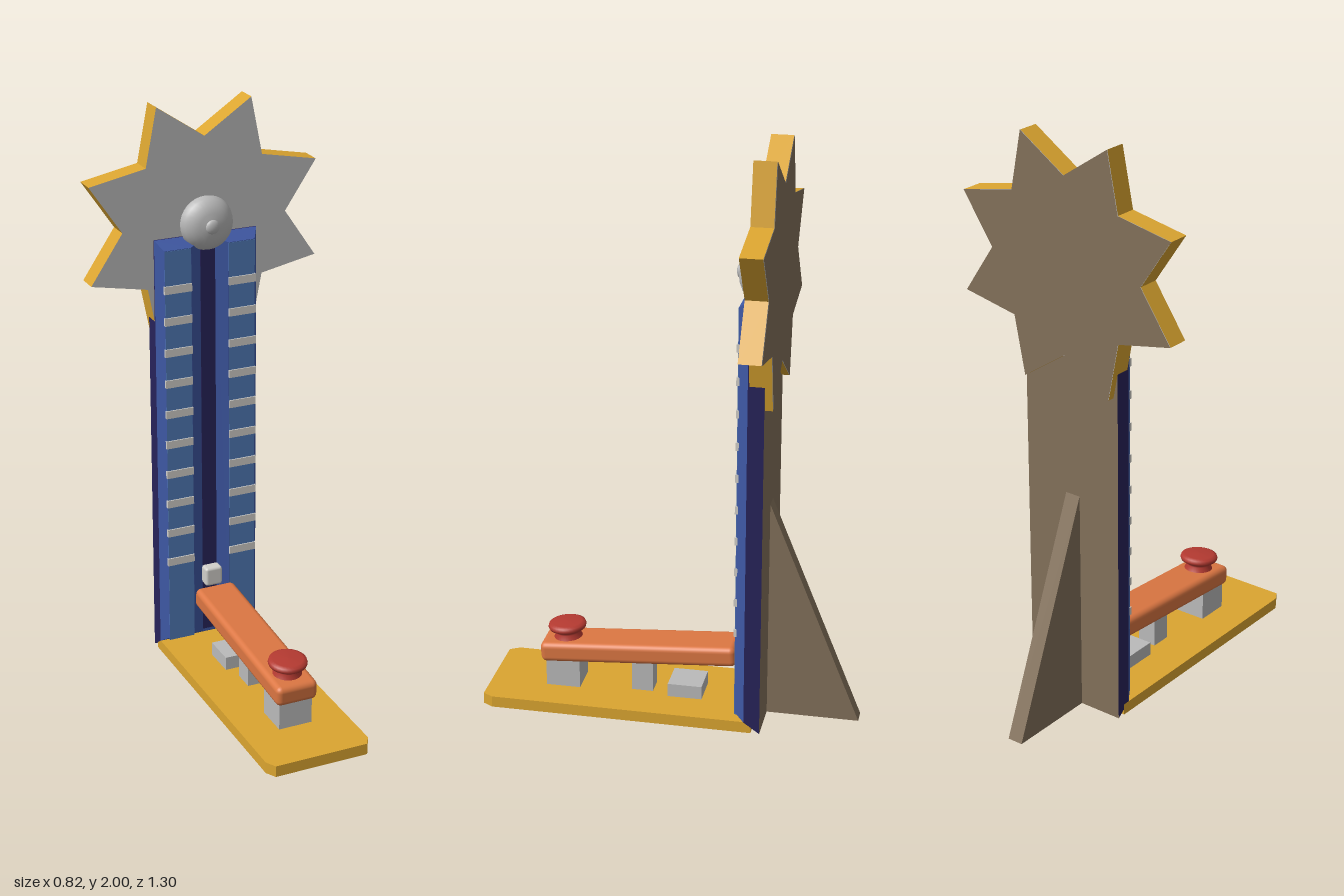
import * as THREE from 'three';
import { RoundedBoxGeometry } from 'three/addons/geometries/RoundedBoxGeometry.js';

const mat = (name, color, extra = {}) => {
  const m = new THREE.MeshStandardMaterial({ color });
  m.name = name;
  return Object.assign(m, extra);
};

export function createModel() {
  const model = new THREE.Group();
  model.name = 'strengthTester';
  const gold = mat('gold', 0xdba530);
  const grey = mat('grey', 0xbababa);
  const pale = mat('paleGrey', 0xd2d0cb);
  const brown = mat('brown', 0x82705a);
  const navy = mat('navy', 0x27235a);
  const blue = mat('blue', 0x3f59a6);
  const lightBlue = mat('lightBlue', 0x5079b6);
  const orange = mat('orange', 0xdb7642);
  const red = mat('red', 0xb53a31);

  const add = (name, geometry, material, x = 0, y = 0, z = 0) => {
    const mesh = new THREE.Mesh(geometry, material);
    mesh.name = name;
    mesh.position.set(x, y, z);
    model.add(mesh);
    return mesh;
  };
  // Box given by its limits on each axis
  const box = (name, material, x0, x1, y0, y1, z0, z1) =>
    add(name, new THREE.BoxGeometry(x1 - x0, y1 - y0, z1 - z0), material,
      (x0 + x1) / 2, (y0 + y1) / 2, (z0 + z1) / 2);
  const polygon = (points) => new THREE.Shape(points.map(([x, y]) => new THREE.Vector2(x, y)));
  // Vertical extrusion of an outline of (x, z) points
  const upright = (points, height) => {
    const g = new THREE.ExtrudeGeometry(polygon(points.map(([x, z]) => [x, -z])),
      { depth: height, bevelEnabled: false });
    return g.rotateX(-Math.PI / 2);
  };
  // Slopes the foot and the top edge of the tower
  const trimEnds = (g) => {
    const p = g.attributes.position;
    for (let i = 0; i < p.count; i++) {
      const z = p.getZ(i);
      p.setY(i, p.getY(i) < 0.5 ? (z + 0.33) * 0.7 : 1.55 - Math.max(0, z + 0.275) * 0.86);
    }
    g.computeVertexNormals();
    return g;
  };

  // Base board with clipped front corners
  add('base', upright([[-0.187, -0.3], [0.187, -0.3], [0.187, 0.615], [0.167, 0.65],
    [-0.167, 0.65], [-0.187, 0.615]], 0.04), gold);

  // Tower: dark body with a brown back, then the bevelled face with its channel
  const body = new THREE.BoxGeometry(0.374, 1.55, 0.055).translate(0, 0.775, -0.3025);
  add('towerBody', trimEnds(body), [navy, navy, navy, navy, navy, brown]);
  add('towerFace', trimEnds(upright([[-0.187, -0.275], [0.187, -0.275], [0.165, -0.24],
    [0.068, -0.24], [0.027, -0.26], [-0.027, -0.26], [-0.068, -0.24], [-0.165, -0.24]], 1.55)), blue);
  box('channel', navy, -0.027, 0.027, 0.06, 1.53, -0.265, -0.258);
  for (const s of [-1, 1]) {
    const [a, b] = s < 0 ? [-0.165, -0.069] : [0.069, 0.165];
    box('scalePanel', lightBlue, a, b, 0.055, 1.518, -0.245, -0.2385);
    for (let i = 0; i < 10; i++) {
      const y = 0.367 + i * 0.1128;
      box('scaleMark', pale, s * 0.118 - 0.05, s * 0.118 + 0.05, y - 0.014, y + 0.014, -0.245, -0.234);
    }
  }

  // Triangular brace behind the tower
  const brace = new THREE.ExtrudeGeometry(polygon([[0.325, 0], [0.65, 0], [0.325, 0.8]]),
    { depth: 0.056, bevelEnabled: false });
  brace.translate(0, 0, -0.028).rotateY(Math.PI / 2);
  add('brace', brace, brown);

  // Eight-pointed star
  const points = [];
  for (let i = 0; i < 16; i++) {
    const r = i % 2 ? 0.445 : 0.297;
    points.push([r * Math.cos(i * Math.PI / 8), r * Math.sin(i * Math.PI / 8)]);
  }
  const star = polygon(points);
  add('star', new THREE.ExtrudeGeometry(star, { depth: 0.075, bevelEnabled: false }),
    [grey, gold], 0, 1.589, -0.355);
  add('starBack', new THREE.ShapeGeometry(star).rotateY(Math.PI), brown, 0, 1.589, -0.357);

  // Bell dome with a small knob
  const dome = [[0.09, 0], [0.095, 0.015], [0.088, 0.035], [0.07, 0.052], [0.045, 0.064], [0, 0.07]]
    .map(([r, h]) => new THREE.Vector2(r, h));
  add('bell', new THREE.LatheGeometry(dome, 32).rotateX(Math.PI / 2), grey, 0, 1.59, -0.282);
  add('bellKnob', new THREE.SphereGeometry(0.025, 20, 12).scale(1, 1, 0.5), grey, 0, 1.59, -0.216);

  // Lever, tilted up towards the tower, on its supports
  const lever = add('lever', new RoundedBoxGeometry(0.15, 0.072, 0.695, 3, 0.02), orange, 0, 0.193, 0.122);
  lever.rotation.x = 0.073;
  box('frontBlock', grey, -0.06, 0.06, 0.001, 0.145, 0.33, 0.45);
  box('pivotBlock', grey, -0.035, 0.035, 0.001, 0.17, 0.073, 0.148);
  box('rearBlock', grey, -0.06, 0.06, 0.001, 0.088, -0.105, 0.015);

  // Strike button
  const button = [[0.052, 0], [0.042, 0.02], [0.045, 0.028], [0.064, 0.038], [0.067, 0.046],
    [0.064, 0.055], [0.052, 0.06], [0, 0.062]].map(([r, h]) => new THREE.Vector2(r, h));
  add('strikeButton', new THREE.LatheGeometry(button, 32), red, 0, 0.206, 0.383).rotation.x = 0.073;

  // Puck that slides up the channel
  add('puck', new RoundedBoxGeometry(0.064, 0.07, 0.045, 2, 0.01), pale, 0, 0.285, -0.238);

  return model;
}
